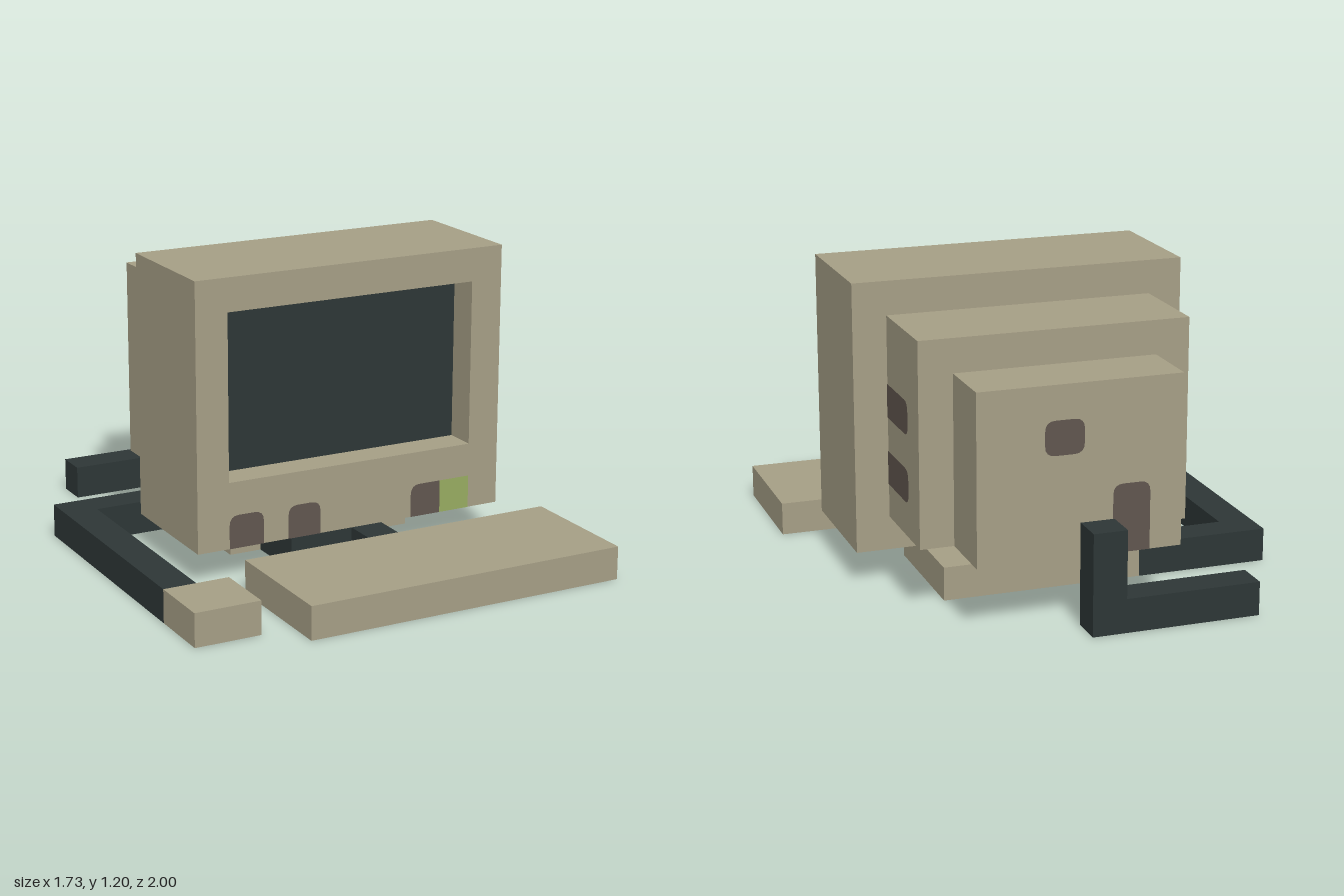
import * as THREE from 'three';

const U = 1 / 15; // all dimensions below are in grid steps of 1/15 unit
const LIFT = 0.03; // painted plates sit this far (in steps) off the surface

export function createModel() {
  const mat = (name, color) => {
    const m = new THREE.MeshStandardMaterial({ color });
    m.name = name;
    return m;
  };
  const beige = mat('beigePlastic', 0xa59e85);
  const dark = mat('darkGlassAndCable', 0x2d3636);
  const brown = mat('brownSlots', 0x60564f);
  const green = mat('greenLight', 0x97ab60);

  const model = new THREE.Group();
  model.name = 'desktopComputer';

  const add = (name, geometry, material) => {
    const mesh = new THREE.Mesh(geometry, material);
    mesh.name = name;
    model.add(mesh);
    return mesh;
  };
  const box = (name, material, [x0, x1], [y0, y1], [z0, z1]) => {
    const g = new THREE.BoxGeometry(x1 - x0, y1 - y0, z1 - z0);
    g.translate((x0 + x1) / 2, (y0 + y1) / 2, (z0 + z1) / 2);
    return add(name, g, material);
  };
  const polygon = (points) => new THREE.Shape(points.map(([x, y]) => new THREE.Vector2(x, y)));
  const extrude = (shape, depth) => new THREE.ExtrudeGeometry(shape, { depth, bevelEnabled: false });

  // Flat plate with its own radius per corner: bottom left, bottom right, top right, top left
  const plate = (w, h, [bl, br, tr, tl]) => {
    const s = new THREE.Shape();
    s.moveTo(bl, 0);
    s.lineTo(w - br, 0);
    s.quadraticCurveTo(w, 0, w, br);
    s.lineTo(w, h - tr);
    s.quadraticCurveTo(w, h, w - tr, h);
    s.lineTo(tl, h);
    s.quadraticCurveTo(0, h, 0, h - tl);
    s.lineTo(0, bl);
    s.quadraticCurveTo(0, 0, bl, 0);
    return new THREE.ShapeGeometry(s, 4);
  };

  // Monitor: framed front with a recessed screen, then two stepped rear housings
  const frame = polygon([[-9, 2], [11, 2], [11, 18], [-9, 18]]);
  frame.holes.push(polygon([[-7, 6], [-7, 16], [9, 16], [9, 6]]));
  add('screenFrame', extrude(frame, 2).translate(0, 0, 3), beige);
  box('monitorBody', beige, [-9, 11], [2, 18], [-3, 3]);
  add('screen', plate(16, 10, [0, 0, 0, 0]).translate(-7, 6, 3 + LIFT), dark);
  box('middleHousing', beige, [-7, 9], [4, 16], [-9, -3]);
  box('rearHousing', beige, [-5, 7], [4, 14], [-13, -9]);
  box('base', beige, [-5, 7], [0, 2], [-7, 1]);

  // Slots and light along the lower front
  const r = 0.6;
  const front = (name, x0, x1, radii, material) =>
    add(name, plate(x1 - x0, 2, radii).translate(x0, 2, 5 + LIFT), material);
  front('frontSlotA', -7, -4.8, [0, 0, r, r], brown);
  front('frontSlotB', -3.2, -1.1, [0, 0, r, r], brown);
  front('frontSlotC', 5, 7, [0, 0, 0, r], brown);
  front('powerLight', 7, 9, [0, 0, 0, 0], green);

  // Side vents, rounded toward the back
  for (const y of [6, 10]) {
    add('ventLeft', plate(4, 2, [0, r, r, 0]).rotateY(Math.PI / 2).translate(9 + LIFT, y, -3), brown);
    add('ventRight', plate(4, 2, [r, 0, 0, r]).rotateY(-Math.PI / 2).translate(-7 - LIFT, y, -7), brown);
  }

  // Rear sockets
  add('rearSocket', plate(2.3, 2, [r, r, r, r]).rotateY(Math.PI).translate(3.1, 10, -13 - LIFT), brown);
  add('powerSocket', plate(2.2, 4, [0, 0, r, r]).rotateY(Math.PI).translate(-0.9, 4, -13 - LIFT), brown);

  // Keyboard and mouse
  box('keyboard', beige, [-7, 13], [0, 2], [7, 15]);
  box('mouse', beige, [-13, -9], [0, 2], [9, 13]);

  // Cables lying on the ground, given as x, z outlines
  const groundCable = (name, points) =>
    add(name, extrude(polygon(points.map(([x, z]) => [x, -z])), 2).rotateX(-Math.PI / 2), dark);
  groundCable('mouseCable', [[-13, 9], [-11, 9], [-11, -5], [-5, -5], [-5, -7], [-13, -7]]);
  groundCable('keyboardCable', [[1, 7], [3, 7], [3, 3], [-1, 3], [-1, 1], [-3, 1], [-3, 5], [1, 5]]);

  // Power cable drops down the back and runs sideways
  const power = polygon([[-9, 0], [1, 0], [1, 6], [-1, 6], [-1, 2], [-9, 2]]);
  add('powerCable', extrude(power, 2).translate(0, 0, -15), dark);

  model.scale.setScalar(U);
  return model;
}
